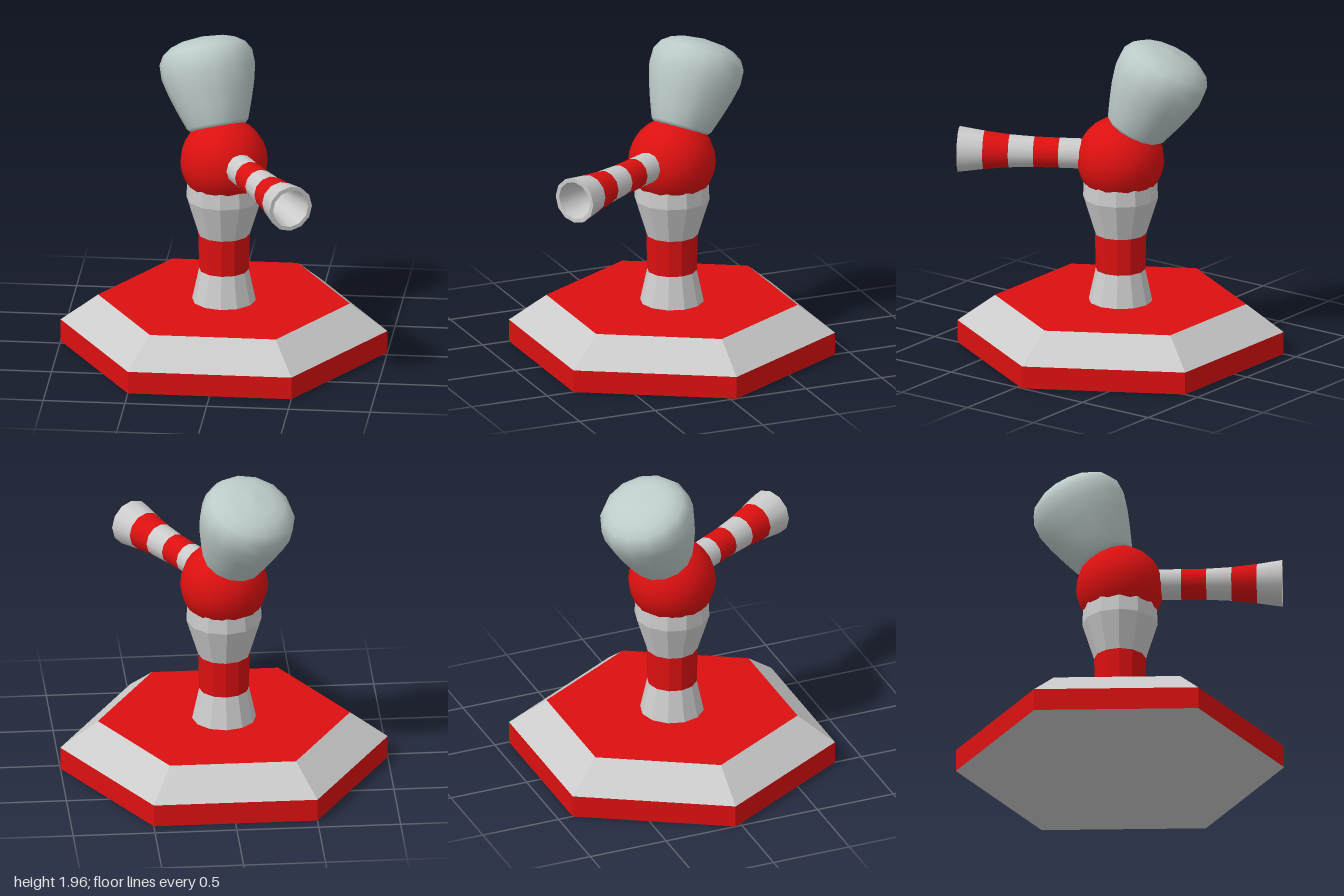
import * as THREE from 'three';

const grey = { color: 0xcccccc };
const red = { color: 0xdd1010 };
const pale = { color: 0xbccbc9 };

// A turned part from [radius, height] points, listed bottom to top
function turned(name, points, sides, look, flat = false) {
  const profile = points.map(([r, y]) => new THREE.Vector2(r, y));
  const geometry = new THREE.LatheGeometry(profile, sides, Math.PI / 2);
  const mesh = new THREE.Mesh(geometry, new THREE.MeshStandardMaterial({ ...look, flatShading: flat }));
  mesh.name = name;
  return mesh;
}

// Stacked bands, alternately grey and red, between neighbouring rings
function banded(name, rings, sides, flat) {
  const group = new THREE.Group();
  group.name = name;
  rings.forEach((band, i) => {
    group.add(turned(name + 'Band', band, sides, i % 2 ? red : grey, flat));
  });
  return group;
}

export function createModel() {
  const model = new THREE.Group();
  model.name = 'turret';
  model.position.z = -0.04;

  // Hexagonal base: underside, red rim, grey bevel, red top
  const base = new THREE.Group();
  base.name = 'base';
  base.add(
    turned('underside', [[0, 0], [1, 0]], 6, grey, true),
    turned('rim', [[1, 0], [1, 0.14]], 6, red, true),
    turned('bevel', [[1, 0.14], [0.77, 0.31]], 6, grey, true),
    turned('platform', [[0.77, 0.31], [0, 0.31]], 6, red, true)
  );
  model.add(base);

  // Waisted column
  model.add(banded('column', [
    [[0.195, 0.31], [0.152, 0.51]],
    [[0.152, 0.51], [0.158, 0.74]],
    [[0.158, 0.74], [0.23, 0.97], [0.225, 1.07], [0, 1.07]]
  ], 12, true));

  // Ball with barrel and head, swung towards the model's left
  const swivel = new THREE.Group();
  swivel.name = 'swivel';
  swivel.position.y = 1.21;
  swivel.rotation.y = Math.PI / 6;
  model.add(swivel);

  const ball = new THREE.Mesh(new THREE.SphereGeometry(0.267, 20, 14), new THREE.MeshStandardMaterial(red));
  ball.name = 'ball';
  swivel.add(ball);

  // Flared, striped barrel
  const barrel = banded('barrel', [
    [[0.094, 0.2], [0.094, 0.373]],
    [[0.094, 0.373], [0.095, 0.527]],
    [[0.095, 0.527], [0.103, 0.68]],
    [[0.103, 0.68], [0.12, 0.835]],
    [[0.12, 0.835], [0.143, 0.99]]
  ], 12, false);
  barrel.add(
    turned('muzzleRim', [[0.143, 0.99], [0.118, 0.99]], 12, grey),
    turned('bore', [[0.118, 0.99], [0.095, 0.835], [0.08, 0.6]], 12, grey),
    turned('boreEnd', [[0.08, 0.6], [0, 0.6]], 12, grey)
  );
  barrel.position.y = 0.025;
  barrel.rotation.x = Math.PI / 2;
  swivel.add(barrel);

  // Rounded, upward-widening head leaning away from the barrel
  const head = turned('head', [
    [0, 0.2], [0.17, 0.205], [0.19, 0.225], [0.228, 0.33], [0.264, 0.44], [0.29, 0.55],
    [0.287, 0.64], [0.255, 0.695], [0.2, 0.732], [0.13, 0.755], [0, 0.768]
  ], 14, pale);
  head.rotation.x = -THREE.MathUtils.degToRad(25);
  swivel.add(head);

  const root = new THREE.Group();
  root.add(model);
  return root;
}
